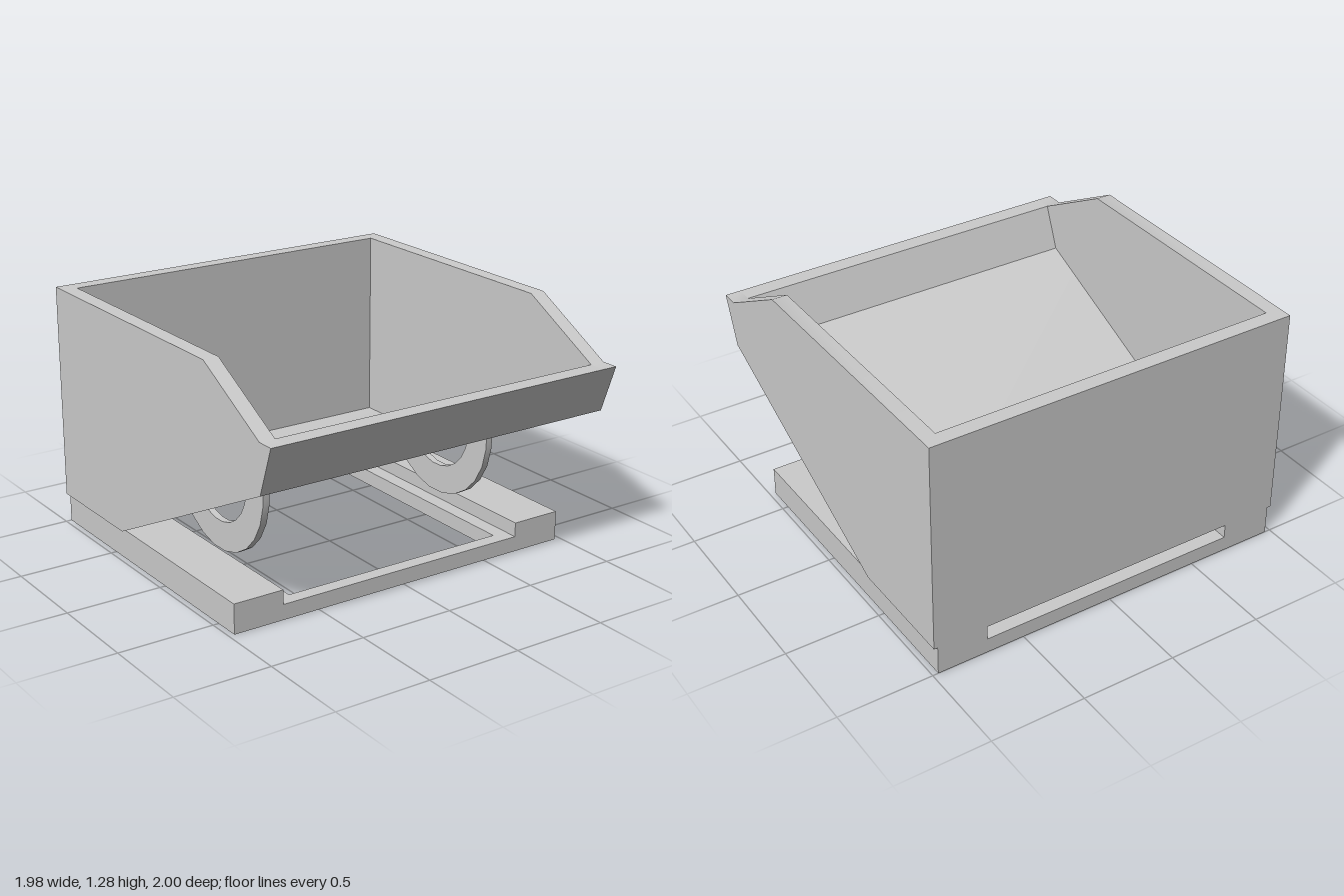
import * as THREE from 'three';
import { toCreasedNormals } from 'three/addons/utils/BufferGeometryUtils.js';

const material = new THREE.MeshStandardMaterial({ color: 0xcccccc });

function addMesh(parent, name, geometry) {
  const mesh = new THREE.Mesh(geometry, material);
  mesh.name = name;
  parent.add(mesh);
  return mesh;
}

const toShape = (points) => new THREE.Shape(points.map(([a, b]) => new THREE.Vector2(a, b)));

// Extrudes a (z, y) profile sideways, centred on the given x
function sideProfile(points, width, x = 0) {
  const geometry = new THREE.ExtrudeGeometry(toShape(points), { depth: width, bevelEnabled: false });
  geometry.translate(0, 0, -width / 2).rotateY(-Math.PI / 2).translate(x, 0, 0);
  return toCreasedNormals(geometry, 0.55);
}

// Points on a circle around the bracket centre, angles in degrees
const arc = (radius, degrees) => degrees.map((d) => {
  const a = THREE.MathUtils.degToRad(d);
  return [0.045 + radius * Math.cos(a), 0.555 + radius * Math.sin(a)];
});

export function createModel() {
  const model = new THREE.Group();
  model.name = 'tippingSkip';

  // Open hopper: front, floor and back as one bent shell, closed by two side panels
  const hopper = new THREE.Group();
  hopper.name = 'hopper';
  model.add(hopper);
  const outer = [[-1, 1.28], [-1, 0.155], [-0.39, 0.155], [0.91, 0.78], [1, 1.03]];
  const inner = [[0.91, 1.03], [0.82, 0.81], [-0.41, 0.28], [-0.92, 0.28], [-0.92, 1.28]];
  addMesh(hopper, 'hopperShell', sideProfile([...outer, ...inner], 1.82));
  const panel = [...outer, [0.91, 1.03], [0.45, 1.28]];

  // Base plate with a large rectangular opening
  const base = new THREE.Group();
  base.name = 'base';
  model.add(base);
  const plate = toShape([[-0.97, -0.64], [0.97, -0.64], [0.97, 1], [-0.97, 1]]);
  plate.holes.push(toShape([[-0.62, -0.565], [-0.62, 0.925], [0.62, 0.925], [0.62, -0.565]]));
  const plateGeometry = new THREE.ExtrudeGeometry(plate, { depth: 0.08, bevelEnabled: false });
  addMesh(base, 'basePlate', plateGeometry.rotateX(-Math.PI / 2));

  // Curved rocker bracket, its ends sunk into the sloping floor
  const outerAngles = [3];
  for (let d = -7.5; d >= -127.5; d -= 15) outerAngles.push(d);
  outerAngles.push(-132);
  const innerAngles = [-114];
  for (let d = -112.5; d <= -22.5; d += 15) innerAngles.push(d);
  innerAngles.push(-13);
  const bracket = [...arc(0.408, outerAngles), ...arc(0.258, innerAngles)];

  // Mirrored pairs
  for (const [side, s] of [['left', 1], ['right', -1]]) {
    addMesh(hopper, side + 'SidePanel', sideProfile(panel, 0.08, s * 0.95));
    const rail = new THREE.BoxGeometry(0.27, 0.075, 1.64);
    addMesh(base, side + 'Rail', rail.translate(s * 0.835, 0.1175, -0.18));
    addMesh(model, side + 'RockerBracket', sideProfile(bracket, 0.036, s * 0.668));
  }
  return model;
}
